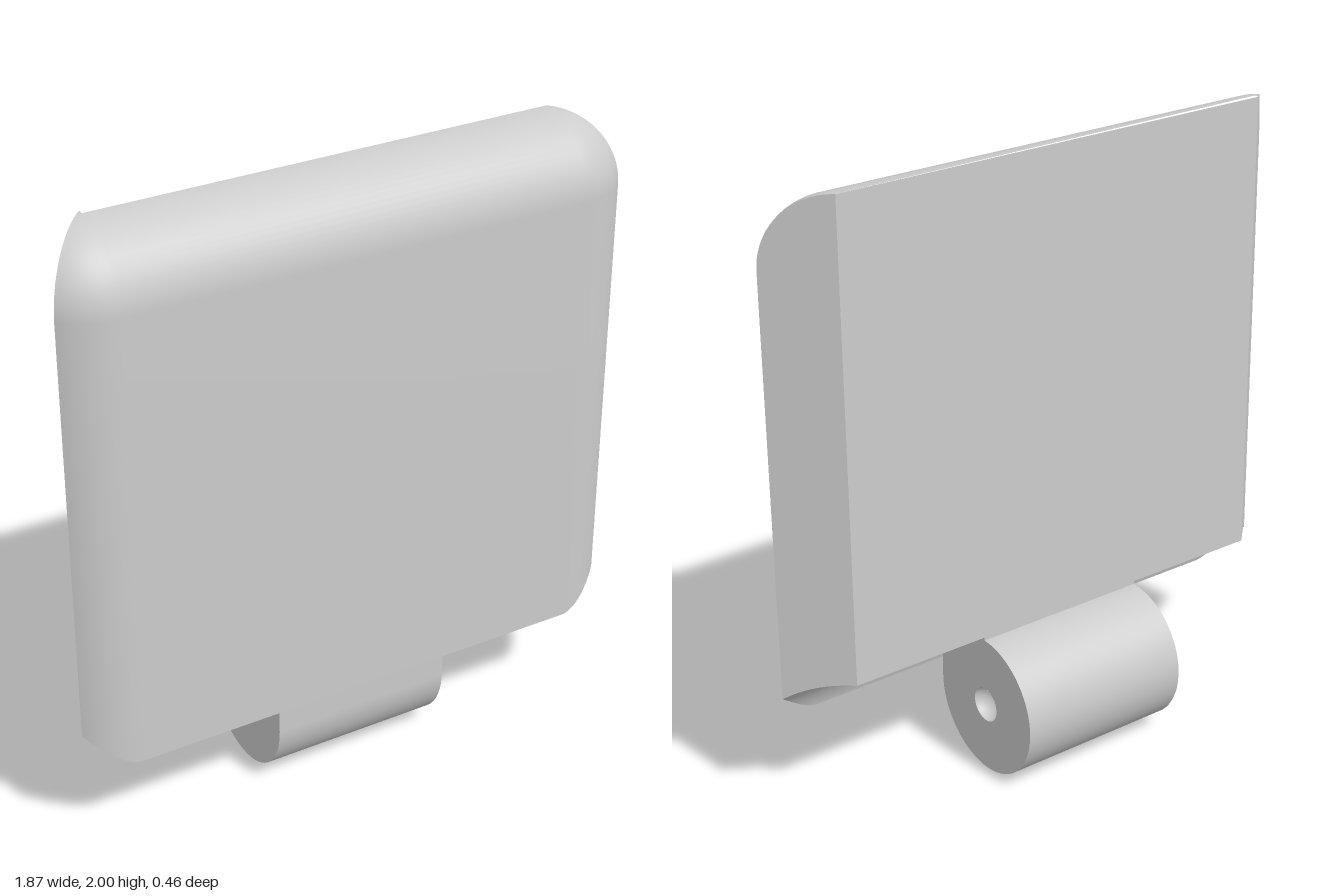
import * as THREE from 'three';
import { toCreasedNormals } from 'three/addons/utils/BufferGeometryUtils.js';

const R = 0.23;         // edge rounding and hinge radius
const HALF = 0.77;      // half width of the flat back
const TOP = 1.77;       // where the rounded top begins
const CLEARANCE = 0.24; // radius of the hollow under the plate

const material = new THREE.MeshStandardMaterial({ color: 0xcccccc });

// Plate: one cross-section carried upwards and shrunk along a quarter circle
function plateGeometry() {
  const half = [];
  const c = R * Math.SQRT1_2;
  for (let i = 0; i < 10; i++) half.push([c * i / 10, c * i / 10]); // back bevel
  for (let i = 0; i <= 12; i++) {                                   // rounded front edge
    const a = Math.PI / 4 * (1 + i / 12);
    half.push([R * Math.cos(a), R * Math.sin(a)]);
  }
  const loop = [
    ...half.map(([x, z]) => [x, z, 1]),
    ...half.slice().reverse().map(([x, z]) => [-x, z, -1]),
  ];
  const n = loop.length, steps = 20, pos = [], index = [];

  // Bottom row follows the hinge clearance, the others round off the top
  for (const [x, z, side] of loop) {
    pos.push(side * HALF + x, R + Math.sqrt(CLEARANCE ** 2 - z * z), z);
  }
  for (let k = 0; k <= steps; k++) {
    const a = Math.PI / 2 * k / steps;
    const s = k === steps ? 0 : Math.cos(a);
    for (const [x, z, side] of loop) {
      pos.push(side * HALF + x * s, TOP + R * Math.sin(a), z * s);
    }
  }
  for (let k = 0; k <= steps; k++) {
    for (let i = 0; i < n; i++) {
      const j = (i + 1) % n;
      const a = k * n + i, b = k * n + j;
      index.push(a, a + n, b);
      if (k < steps || j === 0) index.push(b, a + n, b + n);
    }
  }
  // Hollow underside
  for (let i = 0; i < half.length - 1; i++) {
    const l = n - 1 - i;
    index.push(l, i, i + 1, l, i + 1, l - 1);
  }
  const geometry = new THREE.BufferGeometry();
  geometry.setAttribute('position', new THREE.Float32BufferAttribute(pos, 3));
  geometry.setIndex(index);
  return toCreasedNormals(geometry, 0.5);
}

// Hinge: round barrel with a square web that runs up into the plate
function barrelGeometry(length) {
  const shape = new THREE.Shape();
  shape.moveTo(-R, 0);
  shape.absarc(0, 0, R, Math.PI, Math.PI * 2.5, false);
  shape.lineTo(0, CLEARANCE);
  shape.lineTo(-R, CLEARANCE);
  shape.closePath();
  const hole = new THREE.Path();
  hole.absarc(0, 0, 0.057, 0, Math.PI * 2, true);
  shape.holes.push(hole);
  const geometry = new THREE.ExtrudeGeometry(shape, { depth: length, bevelEnabled: false, curveSegments: 48 });
  geometry.translate(0, 0, -length / 2);
  geometry.rotateY(Math.PI / 2);
  geometry.translate(0, R, 0);
  return toCreasedNormals(geometry, 0.5);
}

export function createModel() {
  const model = new THREE.Group();
  const add = (name, geometry, mat = material) => {
    const mesh = new THREE.Mesh(geometry, mat);
    mesh.name = name;
    model.add(mesh);
    return mesh;
  };

  add('plate', plateGeometry());
  add('hingeBarrel', barrelGeometry(0.6));

  // Round pivot sockets in both barrel ends
  const socketMaterial = material.clone();
  socketMaterial.side = THREE.DoubleSide;
  for (const side of [1, -1]) {
    const dome = new THREE.SphereGeometry(0.057, 32, 12, 0, Math.PI * 2, 0, Math.PI / 2);
    dome.rotateZ(side * Math.PI / 2);
    add(side > 0 ? 'leftPivotSocket' : 'rightPivotSocket', dome, socketMaterial)
      .position.set(side * 0.3, R, 0);
  }
  return model;
}
